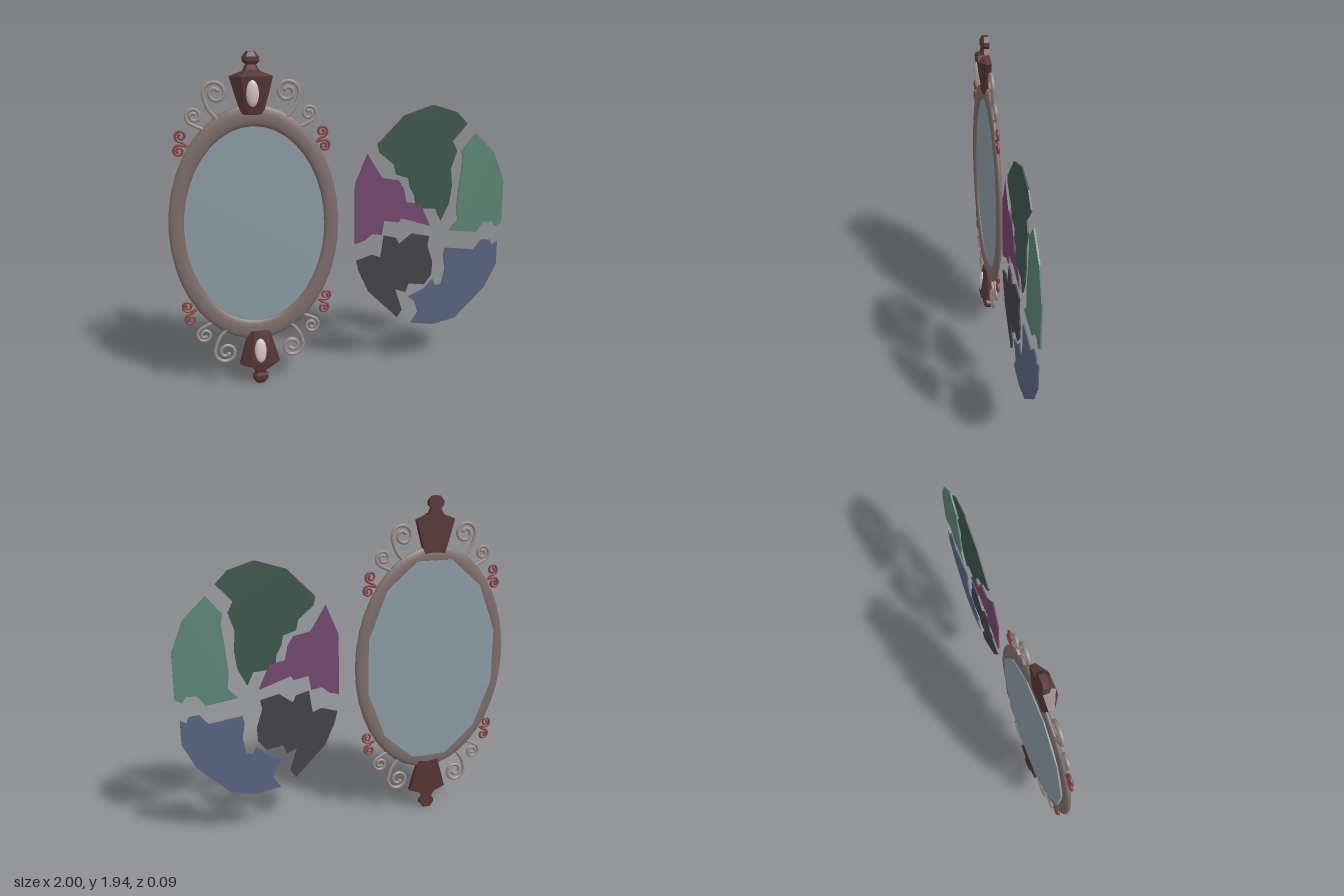
import * as THREE from 'three';

const mat = (color, extra = {}) => new THREE.MeshStandardMaterial({ color, ...extra });

function add(parent, name, geometry, material) {
  const mesh = new THREE.Mesh(geometry, material);
  mesh.name = name;
  parent.add(mesh);
  return mesh;
}

// Flat slab from an outline, between z and z + depth
function slab(points, z, depth) {
  const shape = new THREE.Shape(points.map(([x, y]) => new THREE.Vector2(x, y)));
  return new THREE.ExtrudeGeometry(shape, { depth, bevelEnabled: false }).translate(0, 0, z);
}

const ellipse = (a, b, n, offset = 0) => Array.from({ length: n }, (_, i) => {
  const t = (i + offset) / n * Math.PI * 2;
  return [a * Math.cos(t), b * Math.sin(t)];
});

// Faceted body through six-sided sections: [y, half width, panel half width, side z, panel z]
function facetedBody(sections, back) {
  const pos = [], idx = [], n = 6, top = (sections.length - 1) * n;
  for (const [y, w, p, s, f] of sections) {
    for (const [x, z] of [[-p, f], [p, f], [w, s], [w, back], [-w, back], [-w, s]]) pos.push(x, y, z);
  }
  for (let i = 0; i < sections.length - 1; i++) {
    for (let j = 0; j < n; j++) {
      const a = i * n + j, b = i * n + (j + 1) % n;
      idx.push(a, b, b + n, a, b + n, a + n);
    }
  }
  for (let j = 1; j < n - 1; j++) idx.push(0, j + 1, j, top, top + j, top + j + 1);
  const g = new THREE.BufferGeometry();
  g.setAttribute('position', new THREE.Float32BufferAttribute(pos, 3));
  g.setIndex(idx);
  g.computeVertexNormals();
  return g;
}

// Curled tube: a tail on the frame running into an inward spiral
function scroll({ tail, c, r, from, turns, tube }, side) {
  const pts = tail.map(([x, y]) => new THREE.Vector3(side * x, y, -0.012));
  const n = 18;
  for (let i = 0; i <= n; i++) {
    const t = i / n, a = from + t * turns * Math.PI * 2, rad = r * (1 - 0.72 * t);
    pts.push(new THREE.Vector3(side * (c[0] + rad * Math.cos(a)), c[1] + rad * Math.sin(a), -0.012));
  }
  const curve = new THREE.CatmullRomCurve3(pts);
  const group = new THREE.Group();
  return { curve, end: pts[pts.length - 1], geometry: new THREE.TubeGeometry(curve, 60, tube, 8), group };
}

const SCROLLS = [
  { name: 'largeScroll', tail: [[0.19, 0.61], [0.235, 0.665]], c: [0.196, 0.752], r: 0.068, from: -0.5, turns: 1.45, tube: 0.0105 },
  { name: 'smallScroll', tail: [[0.27, 0.56], [0.32, 0.583]], c: [0.314, 0.632], r: 0.045, from: -0.9, turns: 1.45, tube: 0.009 },
  { name: 'upperRedScroll', red: true, tail: [[0.355, 0.47]], c: [0.388, 0.528], r: 0.034, from: -1.6, turns: 1.4, tube: 0.007 },
  { name: 'lowerRedScroll', red: true, tail: [[0.355, 0.47]], c: [0.402, 0.447], r: 0.032, from: 1.7, turns: -1.4, tube: 0.007 },
];

// Crest with gem and the scrolls on both sides of it
function createCrest() {
  const crest = new THREE.Group();
  const wood = mat(0x563434, { flatShading: true });
  const silver = mat(0x9a8f8c), red = mat(0x8a4745);
  add(crest, 'crestBody', facetedBody([
    [0.632, 0.06, 0.03, 0.0, 0.01],
    [0.76, 0.097, 0.048, 0.0, 0.034],
    [0.838, 0.118, 0.06, 0.0, 0.04],
    [0.866, 0.045, 0.035, 0.005, 0.038],
    [0.872, 0.043, 0.03, 0.0, 0.015],
    [0.9, 0.027, 0.018, 0.0, 0.01],
    [0.918, 0.046, 0.026, 0.0, 0.016],
    [0.942, 0.044, 0.026, 0.0, 0.016],
    [0.968, 0.022, 0.014, -0.004, 0.005],
  ], -0.03), wood);
  const gem = add(crest, 'gem', new THREE.SphereGeometry(1, 24, 16), mat(0xd6c3c6));
  gem.scale.set(0.035, 0.073, 0.018);
  gem.position.set(0, 0.748, 0.029);
  gem.rotation.x = 0.1;
  for (const spec of SCROLLS) {
    for (const side of [-1, 1]) {
      const { geometry, end } = scroll(spec, side);
      const material = spec.red ? red : silver;
      add(crest, spec.name, geometry, material);
      add(crest, spec.name + 'Tip', new THREE.SphereGeometry(spec.tube * 1.15, 10, 8), material).position.copy(end);
    }
  }
  return crest;
}

export function createModel() {
  const model = new THREE.Group();
  model.name = 'mirrorWithShards';

  // Oval mirror
  const mirror = new THREE.Group();
  mirror.name = 'mirror';
  mirror.position.set(-0.515, 0.968, 0);
  model.add(mirror);
  const ring = new THREE.TorusGeometry(1, 0.095, 14, 40).scale(0.44, 0.6275, 0.19).translate(0, 0, -0.014);
  add(mirror, 'frame', ring, mat(0x7d6c69));
  const glass = mat(0x8b9aa3);
  add(mirror, 'glass', slab(ellipse(0.415, 0.595, 32), -0.022, 0.008), glass);
  add(mirror, 'backPlate', slab(ellipse(0.42, 0.626, 12, 0.5), -0.038, 0.016), glass);

  // Matching crests above and below
  for (const [name, turn] of [['topCrest', 0], ['bottomCrest', Math.PI]]) {
    const crest = createCrest();
    crest.name = name;
    crest.rotation.z = turn;
    mirror.add(crest);
  }

  // Broken glass pieces
  const shards = new THREE.Group();
  shards.name = 'shards';
  model.add(shards);
  const shard = (name, color, points) => add(shards, name, slab(points, -0.013, 0.008), mat(color));

  shard('darkGreenShard', 0x3c564c, [
    [0.2, 1.41], [0.36, 1.57], [0.535, 1.625], [0.68, 1.58], [0.75, 1.51], [0.66, 1.41], [0.69, 1.35],
    [0.655, 1.245], [0.665, 1.14], [0.65, 1.03], [0.6, 0.93], [0.565, 1.005], [0.44, 1.015], [0.43, 1.095],
    [0.4, 1.145], [0.39, 1.2], [0.315, 1.225], [0.3, 1.285], [0.21, 1.36]]);
  shard('lightGreenShard', 0x5c8475, [
    [0.805, 1.45], [0.93, 1.33], [1, 1.155], [1, 0.89], [0.96, 0.87], [0.94, 0.905], [0.88, 0.9],
    [0.835, 0.84], [0.655, 0.865], [0.71, 0.925], [0.7, 1.015], [0.715, 1.165], [0.73, 1.295], [0.72, 1.35]]);
  shard('purpleShard', 0x72476f, [
    [0.14, 1.355], [0.185, 1.28], [0.23, 1.21], [0.33, 1.19], [0.365, 1.135], [0.38, 1.055], [0.47, 1.04],
    [0.535, 0.9], [0.35, 0.96], [0.335, 0.935], [0.245, 0.95], [0.23, 0.865], [0.17, 0.875], [0.12, 0.835],
    [0.065, 0.82], [0.065, 1.18]]);
  shard('charcoalShard', 0x434347, [
    [0.245, 0.86], [0.32, 0.84], [0.34, 0.8], [0.42, 0.86], [0.53, 0.835], [0.52, 0.78], [0.555, 0.67],
    [0.55, 0.59], [0.505, 0.53], [0.405, 0.545], [0.385, 0.49], [0.32, 0.515], [0.365, 0.38], [0.335, 0.33],
    [0.15, 0.515], [0.09, 0.65], [0.075, 0.715], [0.17, 0.745], [0.225, 0.725]]);
  shard('blueShard', 0x57647f, [
    [0.635, 0.755], [0.825, 0.73], [0.875, 0.79], [0.93, 0.785], [0.945, 0.75], [0.98, 0.77], [0.98, 0.625],
    [0.905, 0.475], [0.715, 0.29], [0.57, 0.26], [0.425, 0.285], [0.47, 0.35], [0.45, 0.42], [0.405, 0.46],
    [0.505, 0.5], [0.56, 0.56], [0.58, 0.515], [0.62, 0.525], [0.64, 0.62], [0.625, 0.71]]);

  return model;
}
